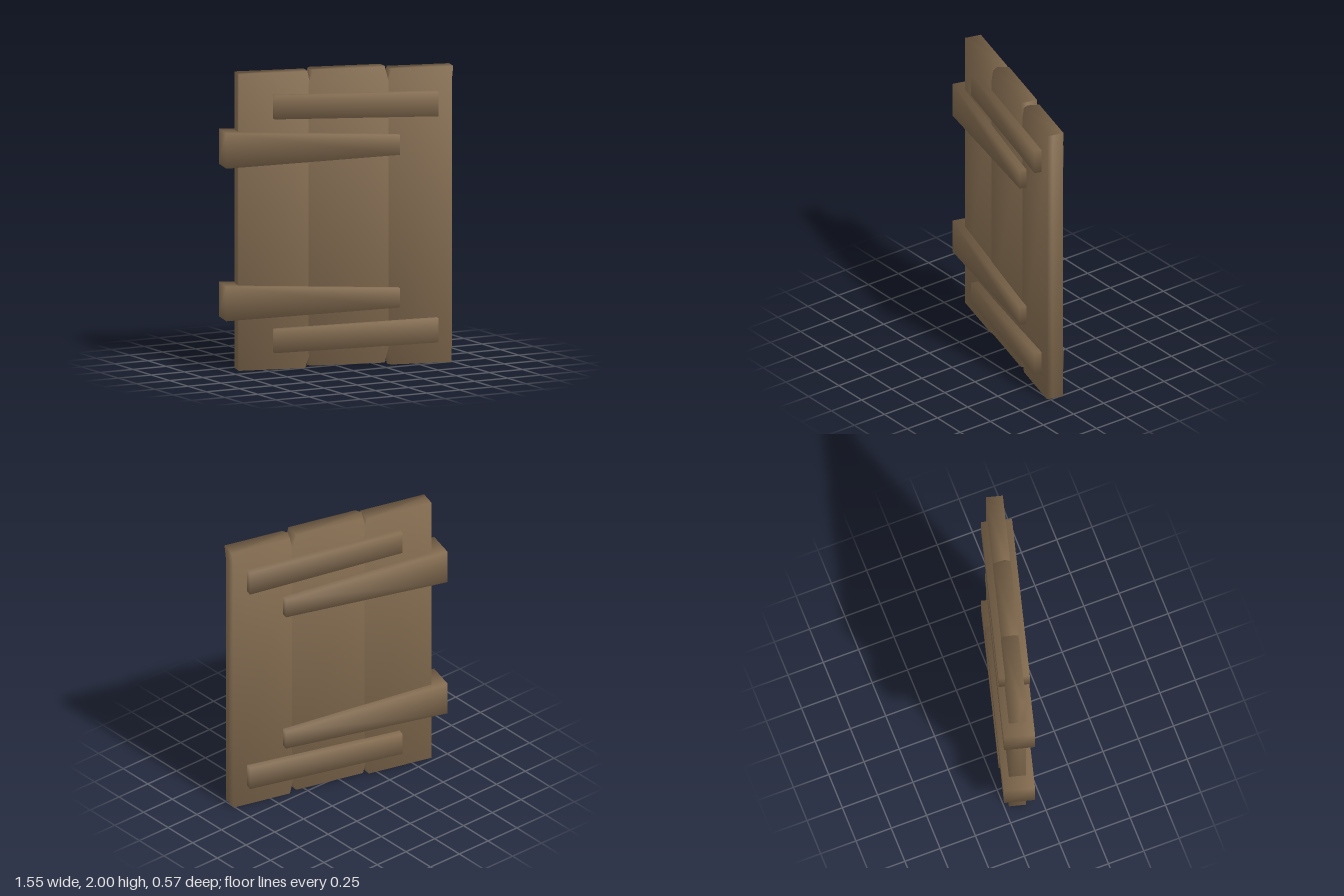
import * as THREE from 'three';

// Skins a row of matching rings and closes both ends.
// Each corner is [x, y, z, nx, ny, nz]; the normals are soft, for a worn, rounded look.
function loft(rings) {
  const n = rings[0].length, position = [], normal = [], index = [];
  for (const ring of rings) {
    for (const [x, y, z, nx, ny, nz] of ring) {
      const len = Math.hypot(nx, ny, nz);
      position.push(x, y, z);
      normal.push(nx / len, ny / len, nz / len);
    }
  }
  for (let r = 0; r < rings.length - 1; r++) {
    for (let i = 0; i < n; i++) {
      const a = r * n + i, b = r * n + (i + 1) % n;
      index.push(a, a + n, b, b, a + n, b + n);
    }
  }
  const top = (rings.length - 1) * n;
  for (let i = 1; i < n - 1; i++) {
    index.push(0, i, i + 1, top, top + i + 1, top + i);
  }
  const geometry = new THREE.BufferGeometry();
  geometry.setAttribute('position', new THREE.Float32BufferAttribute(position, 3));
  geometry.setAttribute('normal', new THREE.Float32BufferAttribute(normal, 3));
  geometry.setIndex(index);
  return geometry;
}

// Upright plank. Each edge has end and middle positions [front, ridge, back].
function plankGeometry({ y0, y1, left, right, front, back }) {
  const levels = [[y0, 0], [y0 + 0.1, 1], [y1 - 0.1, 1], [y1, 2]];
  const ridge = 0.03;
  return loft(levels.map(([y, k]) => {
    const l = left[k], r = right[k], ny = 0.4 * (y - 1);
    return [
      [r[2], y, back, 0.45, ny, -1],
      [r[1], y, ridge, 1, ny, 0],
      [r[0], y, front, 0.45, ny, 1],
      [l[0], y, front, -0.45, ny, 1],
      [l[1], y, ridge, -1, ny, 0],
      [l[2], y, back, -0.45, ny, -1],
    ];
  }));
}

// Crosswise batten that passes through the planks, with its own height at each end.
function battenGeometry(ends) {
  const front = 0.117, back = -0.09;
  return loft(ends.map(([x, low, high], i) => {
    const nx = i ? 0.45 : -0.45;
    return [
      [x, high, front, nx, 0.6, 0.8],
      [x, high, back, nx, 0.6, -0.8],
      [x, low, back, nx, -0.6, -0.8],
      [x, low, front, nx, -0.6, 0.8],
    ];
  }));
}

export function createModel() {
  const wood = new THREE.MeshStandardMaterial({ color: 0x846c50 });
  wood.name = 'weatheredWood';
  const door = new THREE.Group();
  door.name = 'door';
  const add = (name, geometry) => {
    const mesh = new THREE.Mesh(geometry, wood);
    mesh.name = name;
    door.add(mesh);
  };
  const same = (v) => [v, v, v];

  // Planks: edge positions at the bottom, middle and top
  add('rightPlank', plankGeometry({
    y0: 0, y1: 1.99, front: 0.067, back: -0.047,
    left: [same(-0.672), same(-0.673), same(-0.673)],
    right: [[-0.225, -0.205, -0.215], same(-0.185), [-0.205, -0.2, -0.202]],
  }));
  add('middlePlank', plankGeometry({
    y0: 0.015, y1: 2, front: 0.07, back: -0.045,
    left: [[-0.18, -0.198, -0.173], same(-0.198), [-0.17, -0.198, -0.173]],
    right: [[0.32, 0.33, 0.315], same(0.347), [0.319, 0.33, 0.315]],
  }));
  add('leftPlank', plankGeometry({
    y0: 0, y1: 1.985, front: 0.068, back: -0.045,
    left: [[0.368, 0.345, 0.362], same(0.34), [0.366, 0.342, 0.362]],
    right: [same(0.775), same(0.778), same(0.788)],
  }));

  // Battens: [position, bottom, top] at each end
  add('upperShortBatten', battenGeometry([[-0.44, 1.685, 1.843], [0.676, 1.66, 1.825]]));
  add('upperWideBatten', battenGeometry([[-0.77, 1.368, 1.605], [0.413, 1.412, 1.545]]));
  add('lowerWideBatten', battenGeometry([[-0.77, 0.345, 0.577], [0.413, 0.388, 0.517]]));
  add('lowerShortBatten', battenGeometry([[-0.44, 0.117, 0.275], [0.676, 0.143, 0.305]]));

  // The door stands slightly ajar
  door.rotation.y = -0.262;
  const model = new THREE.Group();
  model.name = 'plankDoor';
  model.add(door);
  return model;
}
